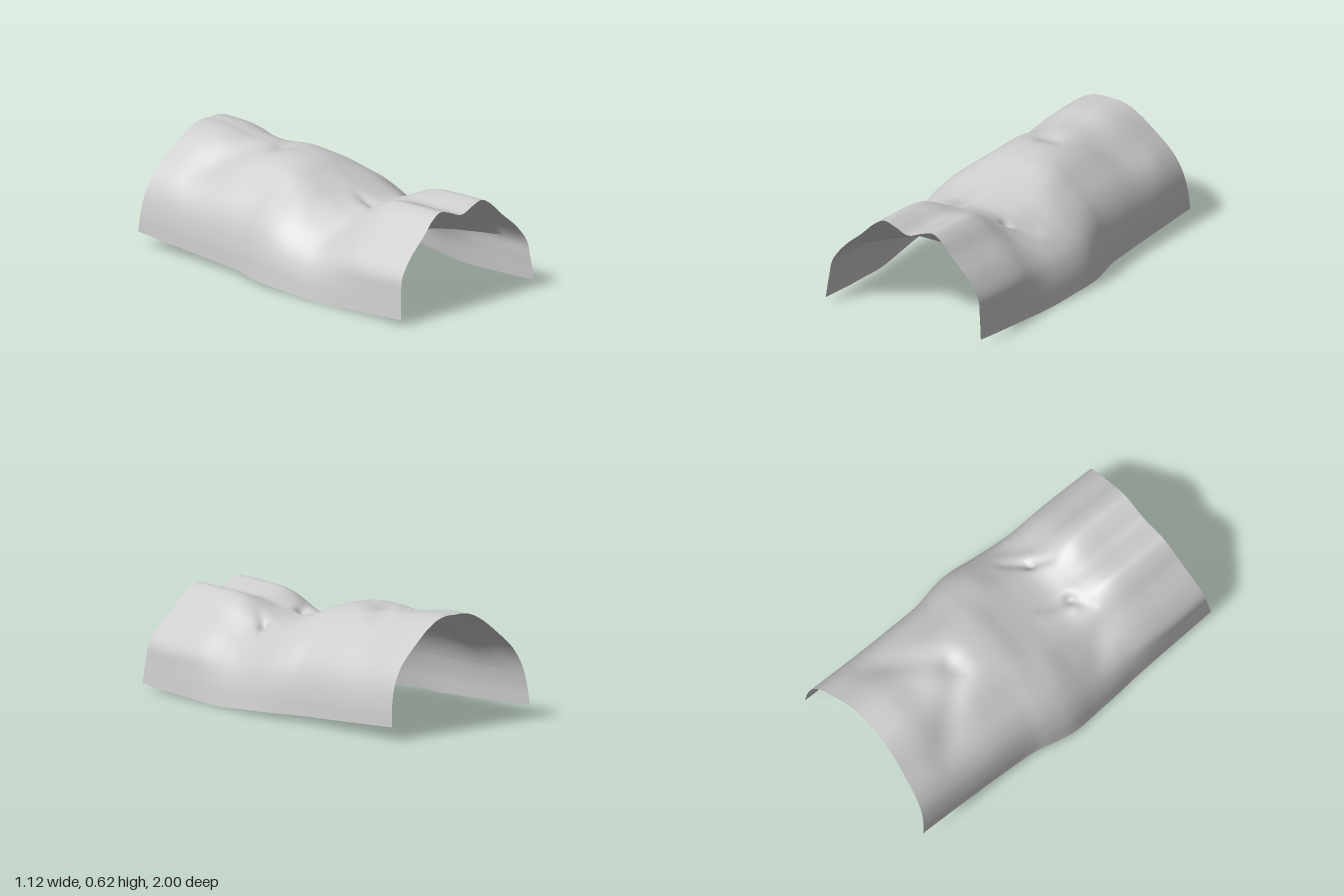
import * as THREE from 'three';

// Half cross-sections, base to crown: [x / half width, y / height]
const halves = [
  [[1, 0], [0.97, 0.25], [0.94, 0.42], [0.8, 0.61], [0.58, 0.8], [0.43, 0.94], [0.31, 1], [0.18, 0.97], [0, 0.91]],
  [[1, 0], [0.95, 0.28], [0.865, 0.5], [0.73, 0.68], [0.55, 0.83], [0.4, 0.93], [0.27, 0.97], [0.13, 0.99], [0, 1]],
  [[1, 0], [0.98, 0.2], [0.92, 0.41], [0.8, 0.59], [0.57, 0.78], [0.4, 0.9], [0.26, 0.97], [0.13, 1], [0, 1]],
];
const profiles = halves.map((h) => {
  const right = h.map(([x, y]) => new THREE.Vector3(x, y, 0));
  const left = h.slice(0, -1).reverse().map(([x, y]) => new THREE.Vector3(-x, y, 0));
  return new THREE.CatmullRomCurve3([...right, ...left]);
});

// Stations along z: [z, half width, base y, crown y, profile blend]
const stations = [
  [-1, 0.493, 0.075, 0.62, 2], [-0.83, 0.493, 0.065, 0.618, 2], [-0.65, 0.495, 0.055, 0.593, 2],
  [-0.45, 0.499, 0.045, 0.605, 1.9], [-0.22, 0.512, 0.035, 0.591, 1.6], [-0.12, 0.536, 0.032, 0.572, 1.35],
  [0, 0.557, 0.028, 0.527, 1.1], [0.2, 0.545, 0.015, 0.465, 1], [0.33, 0.534, 0.005, 0.445, 0.95],
  [0.45, 0.522, 0.002, 0.475, 0.7], [0.6, 0.515, 0.01, 0.53, 0.25], [0.8, 0.508, 0.02, 0.545, 0],
  [1, 0.503, 0.035, 0.55, 0],
];
const along = new THREE.CubicInterpolant(
  stations.map((s) => s[0]), stations.flatMap((s) => s.slice(1)), 4, new Float32Array(4));

// Creases and bulges, fading towards their second end: [x1, z1, x2, z2, width, height]
const folds = [
  [-0.08, 0.39, -0.18, 0.46, 0.03, -0.018], [-0.08, 0.39, -0.03, 0.22, 0.03, -0.018],
  [0.22, 0.36, 0.16, 0.46, 0.03, -0.018], [0.22, 0.36, 0.34, 0.24, 0.03, -0.018],
  [-0.14, 0.36, -0.1, 0.22, 0.05, 0.01], [0.29, 0.38, 0.38, 0.28, 0.05, 0.01],
  [0.05, -0.42, 0.32, -0.75, 0.085, -0.026], [-0.05, -0.42, -0.32, -0.75, 0.085, -0.026],
  [0.32, 0.4, 0.46, 0.22, 0.07, -0.012], [-0.32, 0.4, -0.46, 0.22, 0.07, -0.012],
  [0.32, 0.05, 0.42, 0.02, 0.11, 0.014], [-0.32, 0.05, -0.42, 0.02, 0.11, 0.014],
];
function foldHeight(x, z) {
  let sum = 0;
  for (const [x1, z1, x2, z2, width, height] of folds) {
    const dx = x2 - x1, dz = z2 - z1;
    const t = THREE.MathUtils.clamp(((x - x1) * dx + (z - z1) * dz) / (dx * dx + dz * dz), 0, 1);
    const d = Math.hypot(x - x1 - t * dx, z - z1 - t * dz) / width;
    sum += height * (1 - 0.65 * t) * Math.exp(-d * d);
  }
  return sum;
}

// Point on the draped sheet: t runs over the arch, z along its length
function drape(t, z) {
  const [w, base, crown, blend] = along.evaluate(z);
  const i = THREE.MathUtils.clamp(Math.floor(blend), 0, 1);
  const p = profiles[i].getPoint(t).lerp(profiles[i + 1].getPoint(t), blend - i);
  const x = p.x * w;
  const f = foldHeight(x, z) * Math.min(1, p.y * 1.6);
  return new THREE.Vector3(x + f * p.x * 0.6, base + p.y * (crown - base) + f, z * (1 - 0.048 * p.y));
}

// Arch parameter where one side of the sheet reaches the lower edge of the lining
function edgeT(z, side) {
  let low = 0, high = 0.4;
  for (let i = 0; i < 12; i++) {
    const mid = (low + high) / 2;
    if (drape(side > 0 ? mid : 1 - mid, z).y < 0.256) low = mid;
    else high = mid;
  }
  return side > 0 ? low : 1 - low;
}

// Point on the lining, just inside the sheet; u runs from the right edge to the left
function lining(u, z) {
  const p = drape(THREE.MathUtils.lerp(edgeT(z, -1), edgeT(z, 1), u), z);
  p.x *= 0.988;
  p.y -= 0.006;
  return p;
}

// Smooth grid surface from a rule fn(u, v), with u and v from 0 to 1
function surface(name, nu, nv, fn) {
  const geometry = new THREE.PlaneGeometry(1, 1, nu, nv);
  const pos = geometry.attributes.position, uv = geometry.attributes.uv;
  for (let i = 0; i < pos.count; i++) {
    const p = fn(uv.getX(i), uv.getY(i));
    pos.setXYZ(i, p.x, p.y, p.z);
  }
  geometry.computeVertexNormals();
  const mesh = new THREE.Mesh(geometry,
    new THREE.MeshStandardMaterial({ color: 0xcccccc, side: THREE.DoubleSide }));
  mesh.name = name;
  return mesh;
}

export function createModel() {
  const group = new THREE.Group();
  group.name = 'drapedCloth';

  // Outer cloth
  group.add(surface('cloth', 90, 140, (u, v) => drape(1 - u, 1 - 2 * v)));

  // Inner layer under the arch, with a ragged notch at each side of its back end
  const frontZ = 0.82;
  group.add(surface('innerLayer', 64, 90, (u, v) => {
    const notch = (Math.abs(u - 0.5) - 0.42) / 0.04;
    return lining(u, THREE.MathUtils.lerp(frontZ, -0.9 + 0.2 * Math.exp(-notch * notch), v));
  }));

  // Flap sloping back from the front of the inner layer to a level edge
  group.add(surface('frontFlap', 48, 8, (u, v) => {
    const x = THREE.MathUtils.lerp(-0.46, 0.455, u);
    const z = 0.45 + 0.22 * Math.max(0, (Math.abs(x) - 0.27) / 0.19);
    const y = 0.25 - 0.015 * Math.max(0, (x - 0.35) / 0.105);
    return lining(u, frontZ).lerp(new THREE.Vector3(x, y, z), v);
  }));
  return group;
}
